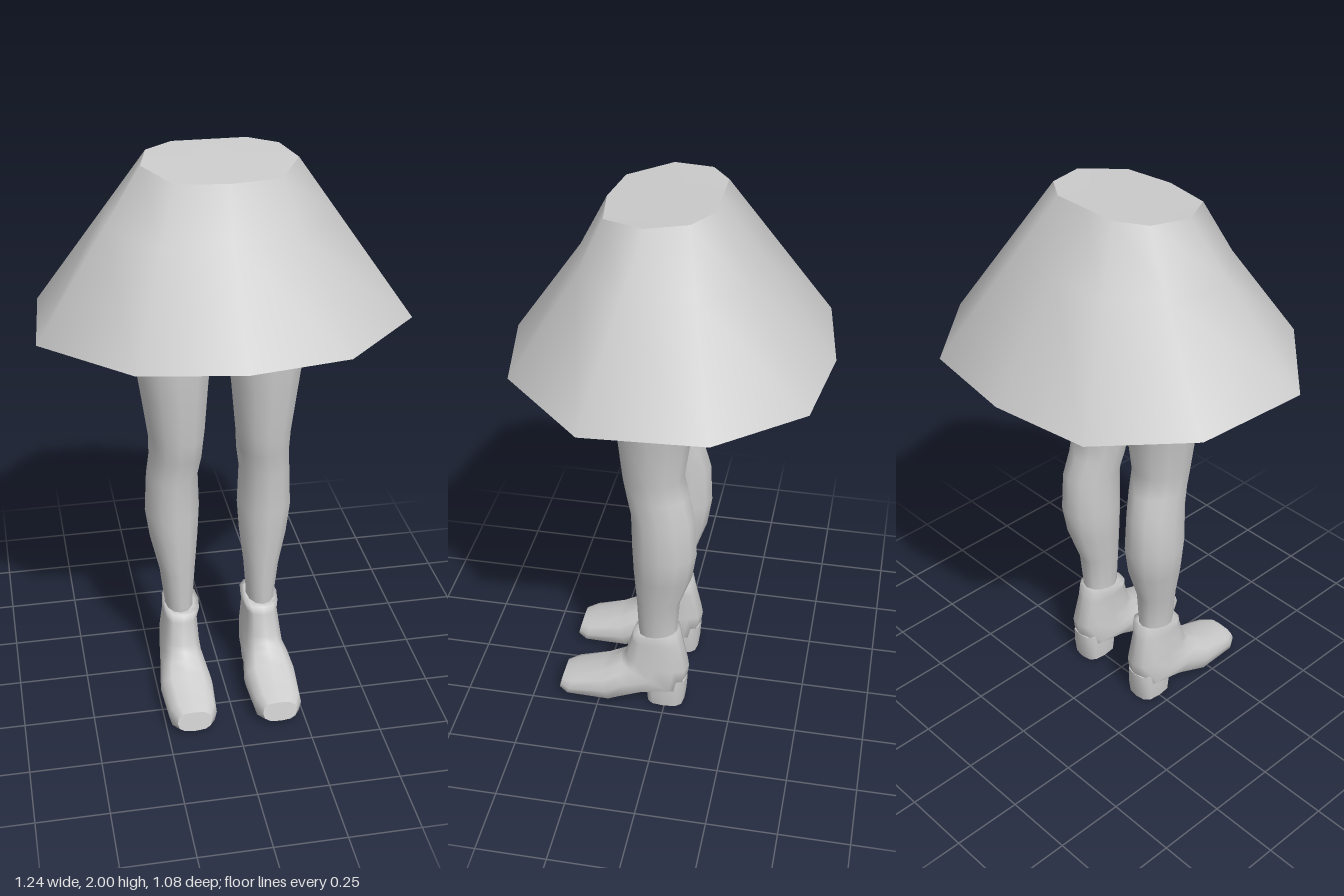
import * as THREE from 'three';
import { mergeGeometries } from 'three/addons/utils/BufferGeometryUtils.js';

const V = (x, y, z) => new THREE.Vector3(x, y, z);
const grey = new THREE.MeshStandardMaterial({ color: 0xcccccc });
const greyDouble = new THREE.MeshStandardMaterial({ color: 0xcccccc, side: THREE.DoubleSide });

// Smooth skin over a list of closed rings with equal point counts.
function skin(rings) {
  const n = rings[0].length, index = [];
  for (let i = 0; i < rings.length - 1; i++) {
    for (let j = 0; j < n; j++) {
      const k = (j + 1) % n, a = i * n, b = a + n;
      index.push(a + j, a + k, b + j, a + k, b + k, b + j);
    }
  }
  const g = new THREE.BufferGeometry().setFromPoints(rings.flat());
  g.setIndex(index);
  g.computeVertexNormals();
  return g;
}

// Flat fan closing a ring; flip turns it to face the start of the skin.
function cap(ring, flip = false) {
  const n = ring.length, index = [];
  const centre = ring.reduce((s, p) => s.add(p), V(0, 0, 0)).divideScalar(n);
  for (let j = 0; j < n; j++) {
    const k = (j + 1) % n;
    index.push(n, flip ? k : j, flip ? j : k);
  }
  const g = new THREE.BufferGeometry().setFromPoints([...ring, centre]);
  g.setIndex(index);
  g.computeVertexNormals();
  return g;
}

function loft(rings) {
  return mergeGeometries([skin(rings), cap(rings[0], true), cap(rings[rings.length - 1])]);
}

// Oval ring spanning a front point and a back point [z, y]; power < 1 squares it off.
function oval(cx, half, front, back, sides = 12, power = 1) {
  const round = (v) => Math.sign(v) * Math.abs(v) ** power;
  return Array.from({ length: sides }, (_, i) => {
    const a = (i / sides) * Math.PI * 2;
    const s = round(Math.sin(a)), t = (1 - round(Math.cos(a))) / 2;
    return V(cx + half * s,
      THREE.MathUtils.lerp(front[1], back[1], t),
      THREE.MathUtils.lerp(front[0], back[0], t));
  });
}

// Full ring from its left half, listed front to back.
function mirrorRing(half) {
  const rest = half.slice(1, -1).reverse().map((p) => V(-p.x, p.y, p.z));
  return [...half, ...rest];
}

function part(name, geometry, material = grey) {
  const m = new THREE.Mesh(geometry, material);
  m.name = name;
  return m;
}

// Ten-sided flared skirt with a sloping waist
function makeSkirt() {
  const hemXZ = [[0, 0.535], [0.34, 0.475], [0.62, 0.185], [0.587, -0.218], [0.35, -0.49], [0, -0.54]];
  const waistXZ = [[0, 0.215], [0.17, 0.19], [0.255, 0.045], [0.22, -0.09], [0.125, -0.155], [0, -0.155]];
  const hem = hemXZ.map(([x, z]) => V(x, 1.459 + z * 0.02, z));
  const waist = waistXZ.map(([x, z]) => V(x, z > 0.15 ? 1.968 : 1.99 - z * 0.06, z));
  const middle = hem.map((p, i) => {
    const m = p.clone().lerp(waist[i], 0.65);
    if (m.z > 0.2) m.z -= 0.02;
    return m;
  });
  const rings = [hem, middle, waist].map(mirrorRing);
  const group = new THREE.Group();
  group.name = 'skirt';
  group.add(part('skirtPanel', skin(rings), greyDouble), part('waistTop', cap(rings[2]), greyDouble));
  return group;
}

// Leg sections: y, inner x, outer x, front z, back z
const legSections = [
  [0.28, 0.1, 0.205, 0.1, -0.04],
  [0.34, 0.1, 0.205, 0.105, -0.04],
  [0.47, 0.09, 0.22, 0.11, -0.05],
  [0.6, 0.076, 0.25, 0.117, -0.095],
  [0.71, 0.069, 0.265, 0.12, -0.112],
  [0.86, 0.074, 0.258, 0.122, -0.106],
  [0.95, 0.06, 0.25, 0.142, -0.083],
  [1.03, 0.054, 0.252, 0.155, -0.065],
  [1.2, 0.04, 0.275, 0.17, -0.09],
  [1.4, 0.02, 0.304, 0.185, -0.123],
  [1.6, 0.004, 0.32, 0.185, -0.15],
];

// Boot sections from toe to collar: centre x, half width, top/front [z, y], sole/back [z, y]
const bootSections = [
  [0.155, 0.062, [0.39, 0.085], [0.407, 0.015]],
  [0.155, 0.086, [0.345, 0.102], [0.375, 0.003]],
  [0.155, 0.096, [0.24, 0.14], [0.2, 0]],
  [0.155, 0.084, [0.2, 0.168], [0.075, 0.045]],
  [0.153, 0.074, [0.175, 0.188], [-0.07, 0.06]],
  [0.153, 0.07, [0.155, 0.205], [-0.085, 0.17]],
  [0.15, 0.061, [0.132, 0.285], [-0.06, 0.285]],
  [0.147, 0.068, [0.125, 0.315], [-0.05, 0.335]],
  [0.15, 0.052, [0.1, 0.315], [-0.035, 0.335]],
];

function makeLeg(side) {
  const flip = (ring) => {
    // Reversing a mirrored ring keeps its faces pointing outward
    return side > 0 ? ring : ring.map((p) => V(-p.x, p.y, p.z)).reverse();
  };
  const leg = legSections.map(([y, a, b, f, r]) => flip(oval((a + b) / 2, (b - a) / 2, [f, y], [r, y])));
  const boot = bootSections.map(([cx, half, f, b]) => flip(oval(cx, half, f, b, 12, 0.75)));
  const heel = [
    flip(oval(0.153, 0.058, [0.072, 0], [-0.068, 0], 12, 0.65)),
    flip(oval(0.153, 0.062, [0.076, 0.06], [-0.076, 0.06], 12, 0.65)),
    flip(oval(0.153, 0.06, [0.08, 0.12], [-0.08, 0.12], 12, 0.7)),
  ];
  const group = new THREE.Group();
  group.name = side > 0 ? 'leftLeg' : 'rightLeg';
  group.add(part('leg', loft(leg)), part('boot', loft(boot)), part('bootHeel', loft(heel)));
  return group;
}

export function createModel() {
  const model = new THREE.Group();
  model.name = 'skirtedLegs';
  model.add(makeSkirt());

  // Hips hidden beneath the skirt
  const hips = [[1.53, 0.3, 0.17, -0.14], [1.65, 0.31, 0.18, -0.155], [1.8, 0.26, 0.18, -0.14], [1.92, 0.21, 0.16, -0.11]];
  model.add(part('hips', loft(hips.map(([y, w, f, b]) => oval(0, w, [f, y], [b, y])))));

  for (const side of [1, -1]) model.add(makeLeg(side));
  return model;
}
